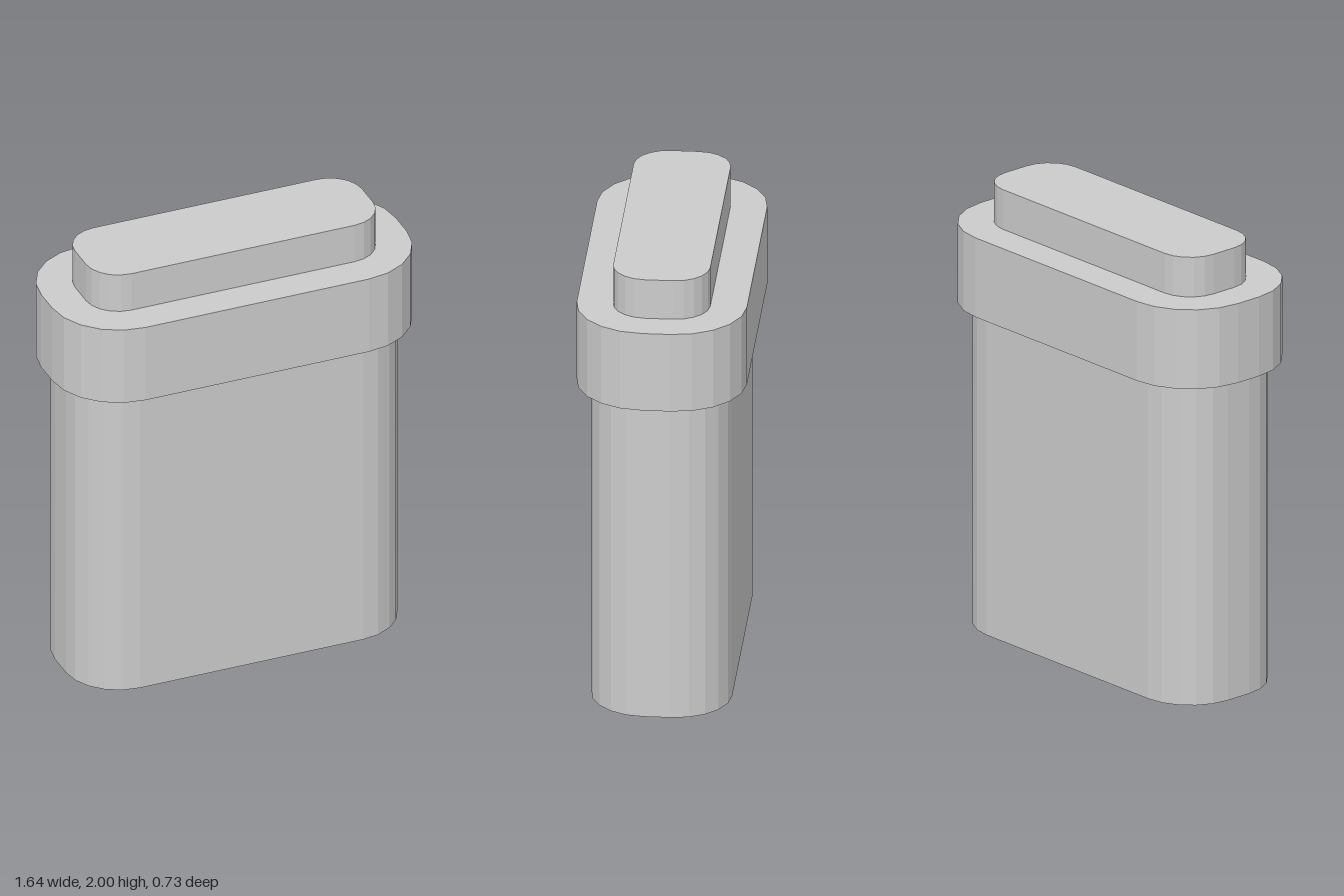
import * as THREE from 'three';

const CORE_X = 0.515; // corner centres shared by all three tiers
const CORE_Z = 0.06;
const STEPS = 5; // facets per rounded corner

// Faceted rounded-rectangle slab from height y0 to y1
function slab(name, radius, y0, y1, material) {
  const points = [];
  const corners = [[1, 1], [-1, 1], [-1, -1], [1, -1]];
  corners.forEach(([sx, sz], q) => {
    for (let i = 0; i <= STEPS; i++) {
      const a = (q + i / STEPS) * Math.PI / 2;
      points.push(new THREE.Vector2(
        sx * CORE_X + radius * Math.cos(a),
        sz * CORE_Z + radius * Math.sin(a)));
    }
  });
  const geometry = new THREE.ExtrudeGeometry(new THREE.Shape(points), {
    depth: y1 - y0, bevelEnabled: false,
  });
  geometry.rotateX(-Math.PI / 2);
  geometry.translate(0, y0, 0);
  const mesh = new THREE.Mesh(geometry, material);
  mesh.name = name;
  return mesh;
}

export function createModel() {
  const group = new THREE.Group();
  group.name = 'steppedBlock';
  const grey = new THREE.MeshStandardMaterial({ color: 0xcccccc });
  grey.name = 'light grey';

  group.add(
    slab('body', 0.24, 0, 1.46, grey),
    slab('collar', 0.303, 1.46, 1.82, grey),
    slab('topPlug', 0.147, 1.82, 2, grey),
  );
  return group;
}
